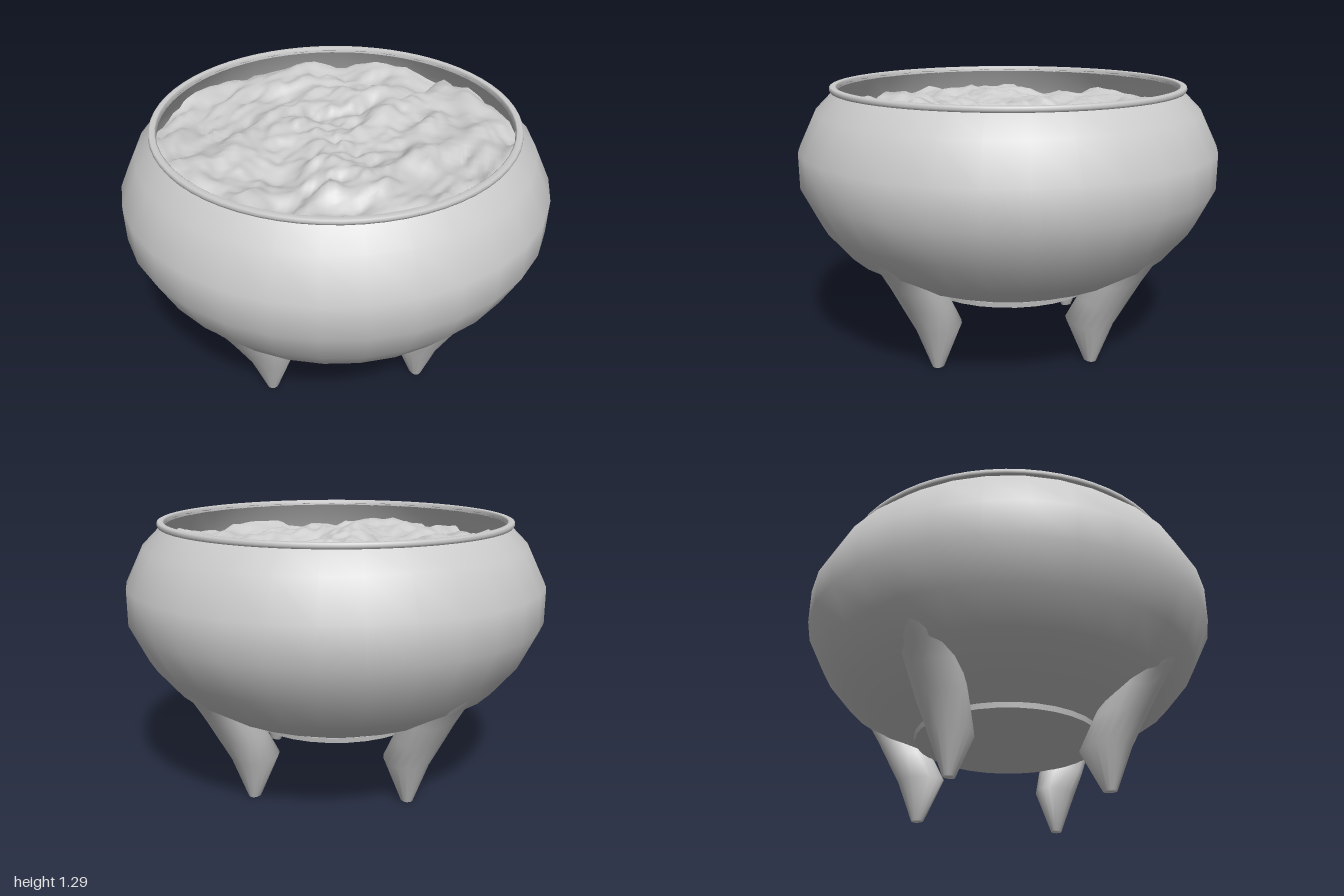
import * as THREE from 'three';

const material = new THREE.MeshStandardMaterial({ color: 0xcccccc, side: THREE.DoubleSide });

function lathe(name, profile, segments = 32) {
  const points = profile.map(([r, y]) => new THREE.Vector2(r, y));
  const mesh = new THREE.Mesh(new THREE.LatheGeometry(points, segments), material);
  mesh.name = name;
  return mesh;
}

// Smooth value noise on an integer lattice
function hash(i, j) {
  const s = Math.sin(i * 127.1 + j * 311.7) * 43758.5453;
  return s - Math.floor(s);
}
function noise(x, z) {
  const i = Math.floor(x), j = Math.floor(z);
  const u = THREE.MathUtils.smoothstep(x - i, 0, 1);
  const v = THREE.MathUtils.smoothstep(z - j, 0, 1);
  const { lerp } = THREE.MathUtils;
  return lerp(lerp(hash(i, j), hash(i + 1, j), u), lerp(hash(i, j + 1), hash(i + 1, j + 1), u), v) - 0.5;
}

// Lumpy surface filling the bowl, with ridges stretched along x
function makeFilling() {
  const geometry = new THREE.RingGeometry(0, 0.88, 96, 60);
  geometry.rotateX(-Math.PI / 2);
  const p = geometry.attributes.position;
  for (let i = 0; i < p.count; i++) {
    const x = p.getX(i), z = p.getZ(i);
    const bump = 0.08 * noise(x * 5 + 9, z * 8 + 4) + 0.05 * noise(x * 11, z * 17) + 0.02 * noise(x * 22, z * 32);
    p.setY(i, 1.16 + bump);
  }
  geometry.computeVertexNormals();
  const mesh = new THREE.Mesh(geometry, material);
  mesh.name = 'filling';
  return mesh;
}

// Leg lofted through teardrop sections: [height, inner x, outer x, half width]
function makeLegGeometry() {
  const sections = [
    [0, 0.48, 0.545, 0.025],
    [0.2, 0.375, 0.62, 0.095],
    [0.33, 0.45, 0.692, 0.115],
    [0.44, 0.5, 0.755, 0.123],
    [0.52, 0.56, 0.805, 0.128],
    [0.6, 0.64, 0.865, 0.14],
    [0.68, 0.72, 0.905, 0.17],
  ];
  const sides = 16, positions = [], index = [];
  for (const [y, inner, outer, half] of sections) {
    for (let k = 0; k < sides; k++) {
      const a = (k / sides) * Math.PI * 2;
      const c = Math.cos(a);
      positions.push((inner + outer) / 2 + c * (outer - inner) / 2, y, -half * Math.sin(a) * (1 + 0.2 * c));
    }
  }
  for (let s = 0; s < sections.length - 1; s++) {
    for (let k = 0; k < sides; k++) {
      const a = s * sides + k, b = s * sides + (k + 1) % sides;
      index.push(a, b, b + sides, a, b + sides, a + sides);
    }
  }
  // Foot cap
  const centre = positions.length / 3;
  positions.push(0.5125, 0, 0);
  for (let k = 0; k < sides; k++) index.push(centre, (k + 1) % sides, k);
  const geometry = new THREE.BufferGeometry();
  geometry.setAttribute('position', new THREE.Float32BufferAttribute(positions, 3));
  geometry.setIndex(index);
  geometry.computeVertexNormals();
  return geometry;
}

export function createModel() {
  const group = new THREE.Group();

  // Round bowl, outside and inside
  group.add(lathe('bowlOutside', [
    [0.45, 0.34], [0.63, 0.415], [0.8, 0.52], [0.915, 0.66],
    [1, 0.835], [1, 1.005], [0.915, 1.18], [0.82, 1.275],
  ]));
  group.add(lathe('bowlInside', [
    [0.81, 1.28], [0.88, 1.17], [0.96, 1], [0.96, 0.84],
    [0.88, 0.68], [0.77, 0.56], [0.45, 0.4], [0, 0.39],
  ]));

  // Thin lip around the opening
  group.add(lathe('rim', [
    [0.815, 1.268], [0.838, 1.27], [0.843, 1.28], [0.841, 1.292],
    [0.835, 1.295], [0.815, 1.295], [0.809, 1.29], [0.808, 1.27],
  ], 64));

  // Flat round base
  const base = new THREE.Mesh(new THREE.CylinderGeometry(0.455, 0.45, 0.025, 32), material);
  base.name = 'base';
  base.position.y = 0.3275;
  group.add(base);

  group.add(makeFilling());

  // Four legs
  const legGeometry = makeLegGeometry();
  ['leftLeg', 'backLeg', 'rightLeg', 'frontLeg'].forEach((name, i) => {
    const leg = new THREE.Mesh(legGeometry, material);
    leg.name = name;
    leg.rotation.y = i * Math.PI / 2;
    group.add(leg);
  });

  return group;
}
